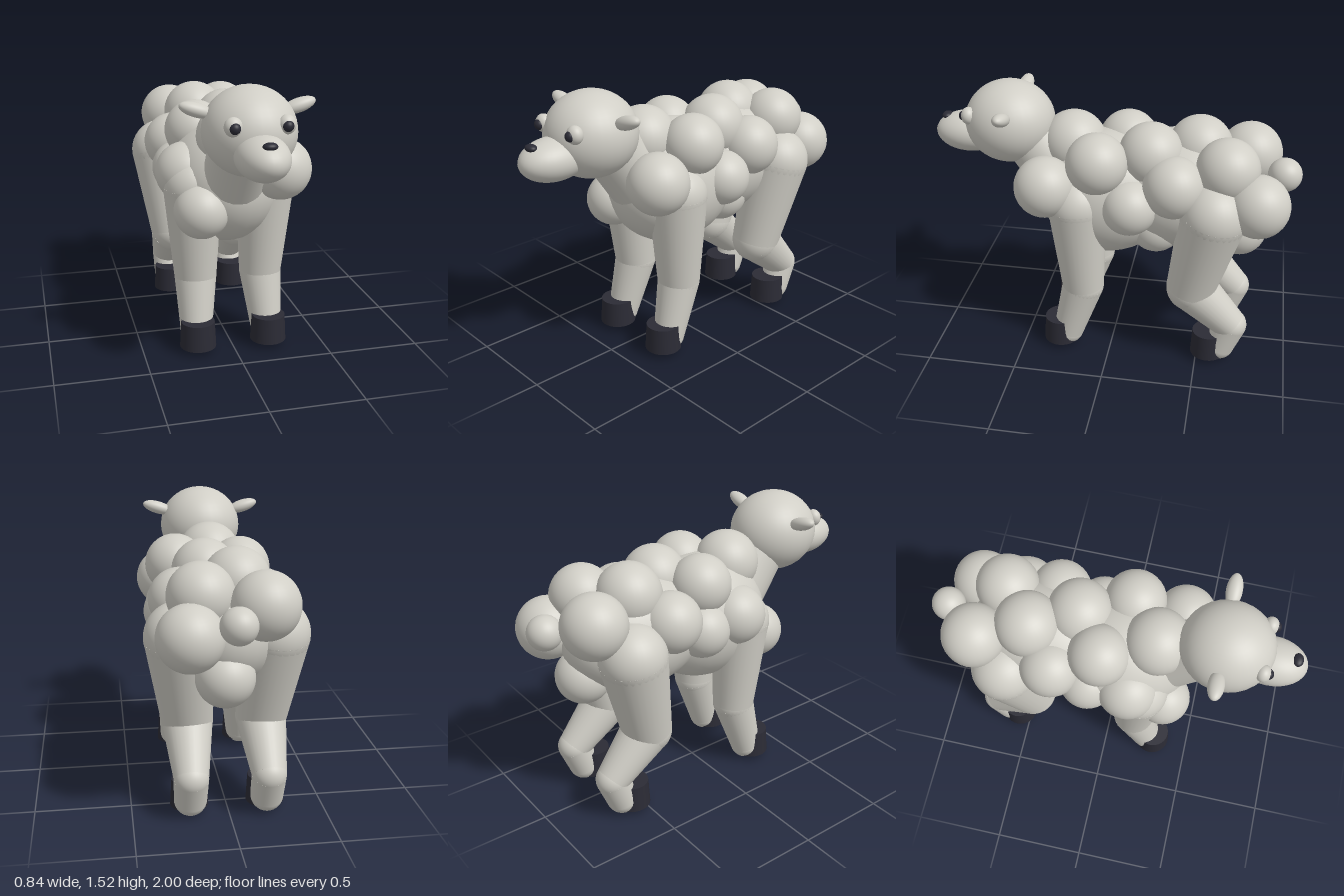
import * as THREE from 'three';

const UP = new THREE.Vector3(0, 1, 0);

export function createModel() {
  const model = new THREE.Group();
  model.name = 'sheep';

  const wool = new THREE.MeshStandardMaterial({ color: 0xd0cec6 });
  wool.name = 'wool grey';
  const dark = new THREE.MeshStandardMaterial({ color: 0x2b2b35 });
  dark.name = 'hoof black';

  const ball = new THREE.SphereGeometry(1, 32, 24);

  // Ellipsoid; a single radius gives a sphere
  function blob(name, pos, radii, material = wool, parent = model) {
    const mesh = new THREE.Mesh(ball, material);
    mesh.name = name;
    mesh.position.set(...pos);
    if (Array.isArray(radii)) mesh.scale.set(...radii);
    else mesh.scale.setScalar(radii);
    parent.add(mesh);
    return mesh;
  }

  // Tapered tube between two points
  function segment(name, a, b, ra, rb, parent = model) {
    const from = new THREE.Vector3(...a);
    const dir = new THREE.Vector3(...b).sub(from);
    const geometry = new THREE.CylinderGeometry(rb, ra, dir.length(), 32);
    const mesh = new THREE.Mesh(geometry, wool);
    mesh.name = name;
    mesh.position.copy(from).addScaledVector(dir, 0.5);
    mesh.quaternion.setFromUnitVectors(UP, dir.normalize());
    parent.add(mesh);
  }

  // Leg: joints [x, y, z, radius] from top to foot, plus a hoof
  function leg(name, side, joints, hoofZ) {
    const group = new THREE.Group();
    group.name = name;
    const points = joints.map(([x, y, z]) => [side * x, y, z]);
    joints.forEach(([, , , r], i) => {
      blob('joint', points[i], r, wool, group);
      if (i > 0) segment('legSegment', points[i - 1], points[i], joints[i - 1][3], r, group);
    });
    const hoof = new THREE.Mesh(new THREE.CylinderGeometry(0.092, 0.1, 0.145, 32), dark);
    hoof.name = 'hoof';
    hoof.position.set(side * 0.2, 0.103, hoofZ);
    group.add(hoof);
    model.add(group);
  }

  // Trunk and neck
  blob('chest', [0, 0.92, 0.05], [0.32, 0.35, 0.38]);
  blob('rump', [0, 0.95, -0.38], [0.3, 0.31, 0.42]);
  segment('neck', [0, 0.92, 0.24], [0, 1.25, 0.5], 0.18, 0.155);

  // Wool tufts: x, y, z, radius
  const tufts = [
    [0.21, 1.0, -0.78, 0.168], [-0.16, 1.13, -0.72, 0.172],
    [0.14, 1.16, -0.61, 0.17], [-0.06, 1.19, -0.45, 0.175],
    [0.07, 1.185, -0.2, 0.175], [-0.14, 1.17, -0.05, 0.165],
    [-0.01, 1.19, 0.23, 0.178], [0.2, 1.17, 0.07, 0.165],
    [0.235, 1.03, 0.345, 0.165], [0.215, 1.075, -0.34, 0.165],
    [0.24, 0.95, -0.11, 0.15], [-0.215, 1.05, -0.3, 0.165],
    [-0.22, 0.95, -0.1, 0.15], [-0.225, 0.98, 0.12, 0.165],
    [-0.18, 0.815, 0.31, 0.148], [0.1, 0.78, -0.24, 0.15],
    [0.03, 0.765, -0.69, 0.15],
  ];
  for (const [x, y, z, r] of tufts) blob('woolTuft', [x, y, z], r);
  blob('tail', [0, 1.09, -0.908, ], 0.091);

  // Head
  blob('head', [0, 1.297, 0.58], [0.235, 0.224, 0.245]);
  blob('snout', [0, 1.22, 0.81], [0.13, 0.11, 0.19]);
  blob('nose', [0, 1.303, 0.935], [0.036, 0.019, 0.028], dark);

  for (const side of [-1, 1]) {
    const label = side > 0 ? 'left' : 'right';
    blob(label + 'Eye', [side * 0.128, 1.362, 0.77], [0.045, 0.047, 0.04]);
    blob(label + 'Pupil', [side * 0.127, 1.36, 0.795], 0.028, dark);
    const ear = blob(label + 'Ear', [side * 0.255, 1.405, 0.555], [0.09, 0.036, 0.042]);
    ear.rotation.z = side * 0.3;

    leg(label + 'FrontLeg', side, [
      [0.2, 0.92, 0.18, 0.16],
      [0.185, 0.4, 0.157, 0.117],
      [0.2, 0.086, 0.245, 0.086],
    ], 0.287);
    leg(label + 'RearLeg', side, [
      [0.24, 0.94, -0.555, 0.18],
      [0.195, 0.455, -0.452, 0.135],
      [0.2, 0.23, -0.685, 0.09],
      [0.2, 0.086, -0.63, 0.086],
    ], -0.567);
  }

  return model;
}
